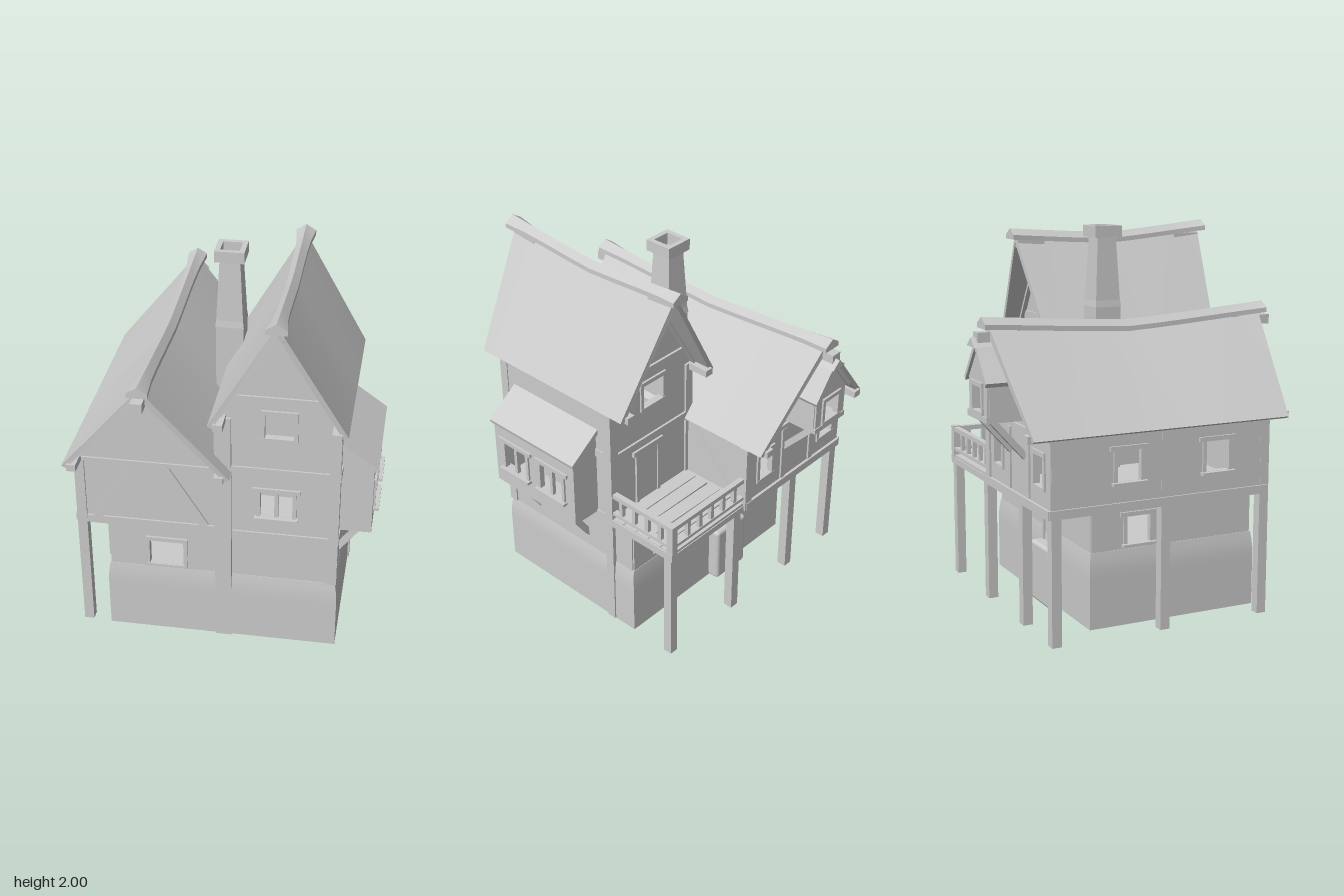
import * as THREE from 'three';
import { toCreasedNormals } from 'three/addons/utils/BufferGeometryUtils.js';
import { RoundedBoxGeometry } from 'three/addons/geometries/RoundedBoxGeometry.js';

const mat = new THREE.MeshStandardMaterial({ color: 0xcccccc, side: THREE.DoubleSide });
const V = (x, y, z) => new THREE.Vector3(x, y, z);

function add(parent, name, geo) {
  const m = new THREE.Mesh(geo, mat);
  m.name = name;
  parent.add(m);
  return m;
}

// Box from its min and max corners
function box(parent, name, x0, x1, y0, y1, z0, z1) {
  const g = new THREE.BoxGeometry(x1 - x0, y1 - y0, z1 - z0);
  g.translate((x0 + x1) / 2, (y0 + y1) / 2, (z0 + z1) / 2);
  return add(parent, name, g);
}

// Square timber between two points
function beam(parent, name, a, b, w = 0.04, d = w) {
  const m = add(parent, name, new THREE.BoxGeometry(w, d, a.distanceTo(b)));
  m.position.copy(a).add(b).multiplyScalar(0.5);
  m.lookAt(b);
  return m;
}

// Solid skinned over equal-length rings, with end caps
function loft(rings) {
  const tri = [], n = rings[0].length, last = rings[rings.length - 1];
  for (let i = 0; i < rings.length - 1; i++) for (let j = 0; j < n; j++) {
    const k = (j + 1) % n, A = rings[i], B = rings[i + 1];
    tri.push([A[j], A[k], B[k]], [A[j], B[k], B[j]]);
  }
  for (let j = 1; j < n - 1; j++) tri.push([rings[0][0], rings[0][j + 1], rings[0][j]], [last[0], last[j], last[j + 1]]);
  let vol = 0;
  for (const [a, b, c] of tri) vol += a.dot(b.clone().cross(c));
  const pts = tri.flatMap(([a, b, c]) => (vol < 0 ? [a, c, b] : [a, b, c]));
  return toCreasedNormals(new THREE.BufferGeometry().setFromPoints(pts), 0.4);
}

// Upright wall of outline pts with rectangular holes [cx, cy, w, h]; axis 'z' faces z, 'x' faces x
function wall(parent, name, axis, at, pts, holes = [], t = 0.03) {
  const s = new THREE.Shape(pts.map(p => new THREE.Vector2(...p)));
  for (const [cx, cy, w, h] of holes) {
    s.holes.push(new THREE.Path([[-1, -1], [-1, 1], [1, 1], [1, -1]].map(
      ([i, j]) => new THREE.Vector2(cx + i * w / 2, cy + j * h / 2))));
  }
  const g = new THREE.ExtrudeGeometry(s, { depth: t, bevelEnabled: false });
  g.translate(0, 0, -t / 2);
  if (axis === 'x') g.rotateY(-Math.PI / 2).translate(at, 0, 0);
  else g.translate(0, 0, at);
  return add(parent, name, g);
}
const rect = (a, b, y0, y1) => [[a, y0], [b, y0], [b, y1], [a, y1]];

// Window frame turned to face outwards, optionally with a long header and sill, and a mullion
function windowFrame(parent, x, y, z, turn, w, h, { ledge = false, mullion = false } = {}) {
  const g = new THREE.Group();
  g.name = 'windowFrame';
  const a = w / 2, b = h / 2, f = 0.02;
  const over = ledge ? 0.02 : 0;
  box(g, 'header', -a - f / 2 - over, a + f / 2 + over, b - 0.005, b + 0.018, -0.02, 0.012);
  box(g, 'sill', -a - f / 2 - over / 2, a + f / 2 + over / 2, -b - 0.014, -b + 0.002, -0.02, ledge ? 0.03 : 0.012);
  for (const s of [-1, 1]) box(g, 'jamb', s * a - f / 2, s * a + f / 2, -b, b, -0.02, 0.01);
  if (mullion) box(g, 'mullion', -0.01, 0.01, -b, b, -0.015, 0.006);
  g.position.set(x, y, z);
  g.rotation.y = turn * Math.PI / 2;
  parent.add(g);
}

// Sagging gable roof with a flared ridge cap
function roof(parent, r) {
  const N = 10, sides = [[], []], cap = [];
  for (let i = 0; i <= N; i++) {
    const t = i / N, u = 2 * t - 1;
    const zr = THREE.MathUtils.lerp(r.ridgeZ[0], r.ridgeZ[1], t);
    const ze = THREE.MathUtils.lerp(r.eaveZ[0], r.eaveZ[1], t);
    const zc = THREE.MathUtils.lerp(r.ridgeZ[0] - 0.03, r.ridgeZ[1] + 0.03, t);
    const y = r.ridgeY + r.sag * Math.pow(Math.abs(u), 1.2) + r.tilt * u;
    [-1, 1].forEach((s, k) => sides[k].push([
      V(r.x, y, zr), V(r.x + s * r.half, r.eaveY, ze),
      V(r.x + s * (r.half - 0.025), r.eaveY - 0.012, ze), V(r.x, y - 0.05, zr)]));
    const w = 0.032 + 0.02 * Math.pow(Math.abs(u), 6);
    cap.push([[-w, -0.03], [-w, -0.005], [0, 0.028], [w, -0.005], [w, -0.03], [0, -0.005]].map(
      ([a, b]) => V(r.x + a, y + b, zc)));
  }
  sides.forEach(s => add(parent, 'roofSlope', loft(s)));
  add(parent, 'ridgeCap', loft(cap));
  // eave purlins, gable rafters and ridge beam ends
  const slope = (r.ridgeY - r.eaveY) / r.half;
  for (const s of [-1, 1]) {
    const x = r.x + s * (r.half - 0.055);
    box(parent, 'purlin', x - 0.024, x + 0.024, r.eaveY - 0.015, r.eaveY + 0.022, r.eaveZ[0] - 0.02, r.eaveZ[1] + 0.02);
  }
  r.wallZ.forEach((z, k) => {
    const out = k ? 1 : -1;
    for (const s of [-1, 1]) beam(parent, 'rafter', V(r.x + s * (r.half - 0.05), r.eaveY + slope * 0.05 - 0.05, z + out * 0.02),
      V(r.x, r.ridgeY - 0.025, z + out * 0.02), 0.025, 0.03);
    const e = r.ridgeZ[k] + out * r.beamOut;
    box(parent, 'ridgeBeam', r.x - 0.03, r.x + 0.03, r.ridgeY - 0.04, r.ridgeY + 0.01, Math.min(z, e), Math.max(z, e));
  });
}

function groundFloor(p) {
  // hollow foundation, drawn in slightly at the top
  const s = new THREE.Shape(rect(-0.61, 0.61, -0.64, 0.32).map(q => new THREE.Vector2(...q)));
  s.holes.push(new THREE.Path(rect(-0.602, 0.602, -0.632, 0.312).map(q => new THREE.Vector2(...q))));
  const g = new THREE.ExtrudeGeometry(s, { depth: 0.4, steps: 10, bevelEnabled: false }).rotateX(-Math.PI / 2);
  const a = g.attributes.position;
  for (let i = 0; i < a.count; i++) {
    const k = 1 - 0.02 * Math.max(0, (a.getY(i) - 0.28) / 0.12) ** 2;
    a.setX(i, a.getX(i) * k);
    a.setZ(i, 0.16 + (a.getZ(i) - 0.16) * k);
  }
  add(p, 'foundation', toCreasedNormals(g, 0.5));
  box(p, 'groundSlab', -0.605, 0.605, 0.25, 0.28, -0.315, 0.635);
  wall(p, 'groundFrontWall', 'z', 0.613, rect(-0.59, 0.59, 0.28, 0.66), [[-0.29, 0.5, 0.18, 0.15]]);
  windowFrame(p, -0.29, 0.5, 0.628, 0, 0.2, 0.155);
  wall(p, 'groundBackWall', 'z', -0.293, rect(-0.59, 0.59, 0.28, 0.66), [[0.36, 0.52, 0.15, 0.15]]);
  windowFrame(p, 0.36, 0.52, -0.308, 2, 0.15, 0.15);
  wall(p, 'groundRightWall', 'x', 0.582, rect(-0.3, 0.625, 0.28, 0.66));
  wall(p, 'groundLeftWall', 'x', -0.58, rect(-0.3, 0.62, 0.28, 0.66), [[-0.04, 0.5, 0.15, 0.15]]);
  windowFrame(p, -0.595, 0.5, -0.04, 3, 0.15, 0.15, { ledge: true });
  // back door with its rounded step
  const step = add(p, 'doorStep', new RoundedBoxGeometry(0.24, 0.33, 0.16, 3, 0.02));
  step.position.set(-0.12, 0.165, -0.305);
  box(p, 'backDoor', -0.19, -0.05, 0.33, 0.61, -0.315, -0.3);
  for (const x of [-0.205, -0.045]) box(p, 'doorJamb', x, x + 0.02, 0.33, 0.62, -0.325, -0.3);
  box(p, 'doorLintel', -0.23, 0, 0.6, 0.63, -0.33, -0.3);
}

function leftWing(p) {
  const gable = [[-0.76, 0.66], [0.03, 0.66], [0.03, 1.05], [-0.37, 1.5], [-0.76, 1.05]];
  wall(p, 'leftGableFront', 'z', 0.605, gable);
  wall(p, 'leftGableBack', 'z', -0.585, gable, [[-0.63, 0.87, 0.13, 0.16], [-0.11, 0.87, 0.12, 0.16]]);
  windowFrame(p, -0.63, 0.87, -0.6, 2, 0.13, 0.16);
  windowFrame(p, -0.11, 0.87, -0.6, 2, 0.12, 0.16);
  wall(p, 'leftOuterWall', 'x', -0.745, rect(-0.58, 0.6, 0.66, 1.07), [[-0.18, 0.88, 0.15, 0.16], [0.32, 0.88, 0.15, 0.16]]);
  for (const z of [-0.18, 0.32]) windowFrame(p, -0.76, 0.88, z, 3, 0.15, 0.165, { ledge: true });
  wall(p, 'leftInnerWall', 'x', 0.015, rect(-0.59, 0.6, 0.66, 1.05));
  box(p, 'leftFloor', -0.76, 0.03, 0.65, 0.68, -0.6, 0.62);
  // horizontal timbers
  for (const [y0, y1] of [[0.65, 0.695], [1.03, 1.055]]) {
    box(p, 'frontRail', -0.76, 0, y0, y1, 0.6, 0.63);
    box(p, 'backRail', -0.76, 0.045, y0, y1, -0.615, -0.58);
    box(p, 'sideRail', -0.77, -0.74, y0, y1, -0.61, 0.62);
    box(p, 'innerRail', 0.01, 0.045, y0, y1, -0.61, -0.15);
  }
  // posts and diagonal braces
  for (const [x, z, y0, y1] of [[-0.735, 0.605, 0, 1.04], [-0.735, 0.03, 0, 1.04], [-0.735, -0.57, 0, 1.04],
    [-0.375, -0.57, 0, 1.04], [0.1, -0.57, 0, 0.66], [0.03, -0.585, 0.65, 1.04]])
    beam(p, 'tallPost', V(x, y0, z), V(x, y1, z), 0.052);
  for (const s of [-1, 1]) beam(p, 'frontBrace', V(-0.37 + s * 0.285, 0.69, 0.613), V(-0.37 + s * 0.07, 1.04, 0.613), 0.035, 0.045);
  beam(p, 'innerBrace', V(0.03, 1.02, -0.22), V(0.03, 0.7, -0.5), 0.03);
  for (const x of [-0.5, -0.26]) box(p, 'backStud', x - 0.018, x + 0.018, 0.7, 1.02, -0.61, -0.58);
  roof(p, { x: -0.37, half: 0.43, ridgeY: 1.515, sag: 0.055, tilt: 0, eaveY: 1.05, beamOut: 0.06,
    ridgeZ: [-0.76, 0.785], eaveZ: [-0.7, 0.72], wallZ: [-0.6, 0.62] });
}

// Small gabled oriel on the back attic
function atticOriel(p) {
  const c = -0.365;
  wall(p, 'orielFront', 'z', -0.795, [[c - 0.12, 1.1], [c + 0.12, 1.1], [c + 0.12, 1.3], [c, 1.45], [c - 0.12, 1.3]], [[c, 1.2, 0.13, 0.13]]);
  windowFrame(p, c, 1.2, -0.81, 2, 0.13, 0.13);
  box(p, 'orielFloor', c - 0.125, c + 0.125, 1.09, 1.12, -0.815, -0.58);
  for (const s of [-1, 1]) {
    wall(p, 'orielSide', 'x', c + s * 0.11, rect(-0.8, -0.58, 1.1, 1.3));
    add(p, 'orielRoof', loft([-0.825, -0.55].map(z => [V(c, 1.48, z), V(c + s * 0.145, 1.29, z), V(c + s * 0.135, 1.27, z), V(c, 1.445, z)])));
    beam(p, 'orielBrace', V(c + s * 0.09, 0.9, -0.6), V(c + s * 0.09, 1.1, -0.78), 0.032);
  }
  add(p, 'orielRidge', loft([-0.845, -0.55].map(z => [V(c - 0.05, 1.455, z), V(c, 1.5, z), V(c + 0.05, 1.455, z), V(c, 1.47, z)])));
}

function rightWing(p) {
  const gable = [[0.01, 0.65], [0.6, 0.65], [0.6, 1.39], [0.3, 1.88], [0.01, 1.39]];
  const attic = [0.295, 1.335, 0.16, 0.14];
  wall(p, 'rightGableFront', 'z', 0.617, gable, [attic, [0.285, 0.87, 0.18, 0.15]]);
  wall(p, 'rightGableBack', 'z', -0.155, gable, [attic]);
  windowFrame(p, 0.295, 1.335, 0.632, 0, 0.165, 0.14);
  windowFrame(p, 0.295, 1.335, -0.17, 2, 0.165, 0.14);
  windowFrame(p, 0.285, 0.87, 0.632, 0, 0.185, 0.155, { ledge: true, mullion: true });
  wall(p, 'rightOuterWall', 'x', 0.585, rect(-0.16, 0.61, 0.65, 1.39));
  wall(p, 'rightInnerWall', 'x', 0.02, rect(-0.16, 0.61, 0.65, 1.39));
  for (const [y0, y1] of [[0.65, 0.69], [1.04, 1.085]]) {
    box(p, 'frontRail', 0.02, 0.605, y0, y1, 0.615, 0.642);
    box(p, 'backRail', 0.02, 0.605, y0, y1, -0.182, -0.155);
    box(p, 'sideRail', 0.585, 0.608, y0, y1, -0.17, 0.63);
  }
  for (const z of [0.63, -0.17]) box(p, 'collarBeam', 0.065, 0.525, 1.455, 1.5, z - 0.013, z + 0.013);
  // corner posts
  box(p, 'frontMainPost', -0.03, 0.055, 0, 1.365, 0.59, 0.65);
  box(p, 'frontCornerPost', 0.55, 0.605, 0.4, 1.39, 0.59, 0.642);
  box(p, 'backCornerPost', 0.565, 0.618, 0, 1.37, -0.182, -0.13);
  box(p, 'backInnerPost', 0, 0.05, 0.65, 1.38, -0.182, -0.13);
  // balcony door
  box(p, 'balconyDoor', 0.26, 0.42, 0.69, 1.0, -0.175, -0.165);
  for (const x of [0.25, 0.41]) box(p, 'doorJamb', x, x + 0.02, 0.69, 1.02, -0.182, -0.16);
  box(p, 'doorLintel', 0.23, 0.45, 1.0, 1.03, -0.185, -0.16);
  roof(p, { x: 0.295, half: 0.345, ridgeY: 1.912, sag: 0.045, tilt: 0.01, eaveY: 1.36, beamOut: -0.005,
    ridgeZ: [-0.33, 0.79], eaveZ: [-0.28, 0.725], wallZ: [-0.17, 0.632] });
}

// Bay with a lean-to roof on the right side
function sideBay(p) {
  const holes = [0.375, 0.105].map(z => [z, 0.88, 0.19, 0.16]);
  wall(p, 'bayFront', 'x', 0.75, rect(-0.06, 0.535, 0.68, 1.07), holes);
  for (const [z] of holes) windowFrame(p, 0.765, 0.88, z, 1, 0.18, 0.165, { ledge: true, mullion: true });
  box(p, 'bayFloor', 0.59, 0.765, 0.68, 0.71, -0.06, 0.535);
  for (const z of [-0.045, 0.52]) wall(p, 'baySide', 'z', z, [[0.59, 0.68], [0.76, 0.68], [0.76, 1.06], [0.59, 1.18]]);
  add(p, 'bayRoof', loft([-0.075, 0.545].map(z => [V(0.59, 1.215, z), V(0.785, 1.075, z), V(0.78, 1.055, z), V(0.59, 1.185, z)])));
  for (const [z0, z1] of [[0.41, 0.445], [0.035, 0.035]]) beam(p, 'bayBrace', V(0.585, 0.475, z0), V(0.73, 0.69, z1), 0.032);
}

function balcony(p) {
  for (let i = 0; i < 5; i++) {
    const plank = box(p, 'plank', -0.285, 0.285, 0.675, 0.695, -0.04, 0.04);
    plank.position.set(0.325, 0, -0.555 + i * 0.086);
    plank.rotation.y = 0.008 * Math.sin(i * 2.3);
  }
  for (const z of [-0.6, -0.35]) box(p, 'joist', 0.03, 0.61, 0.645, 0.68, z, z + 0.035);
  box(p, 'edgeBeam', 0.58, 0.618, 0.645, 0.69, -0.6, -0.17);
  beam(p, 'balconyPost', V(0.59, 0, -0.567), V(0.59, 0.66, -0.567), 0.048);
  box(p, 'cornerNewel', 0.575, 0.615, 0.68, 0.86, -0.6, -0.56);
  // rails with square balusters
  for (const [y, h] of [[0.72, 0.018], [0.83, 0.025]]) {
    box(p, 'sideRail', 0.58, 0.612, y, y + h, -0.59, -0.17);
    box(p, 'backRail', 0.04, 0.61, y, y + h, -0.597, -0.567);
  }
  for (let i = 0; i < 4; i++) beam(p, 'baluster', V(0.597, 0.725, -0.235 - i * 0.09), V(0.597, 0.84, -0.235 - i * 0.09), 0.022);
  for (let i = 0; i < 5; i++) beam(p, 'baluster', V(0.12 + i * 0.09, 0.725, -0.582), V(0.12 + i * 0.09, 0.84, -0.582), 0.022);
}

function chimney(p) {
  const profile = [[0.072, 0.7], [0.072, 1.575], [0.075, 1.575], [0.07, 1.61], [0.053, 1.94],
    [0.077, 1.94], [0.077, 2], [0.05, 2], [0.05, 1.94], [0, 1.75]];
  const g = new THREE.LatheGeometry(profile.map(([r, y]) => new THREE.Vector2(r * Math.SQRT2, y)), 4)
    .rotateY(Math.PI / 4).toNonIndexed();
  g.computeVertexNormals();
  add(p, 'chimney', g).position.set(-0.04, 0, 0.028);
}

export function createModel() {
  const root = new THREE.Group();
  root.name = 'house';
  const parts = { groundFloor, leftWing, atticOriel, rightWing, sideBay, balcony, chimney };
  for (const [name, build] of Object.entries(parts)) {
    const g = new THREE.Group();
    g.name = name;
    build(g);
    root.add(g);
  }
  return root;
}
